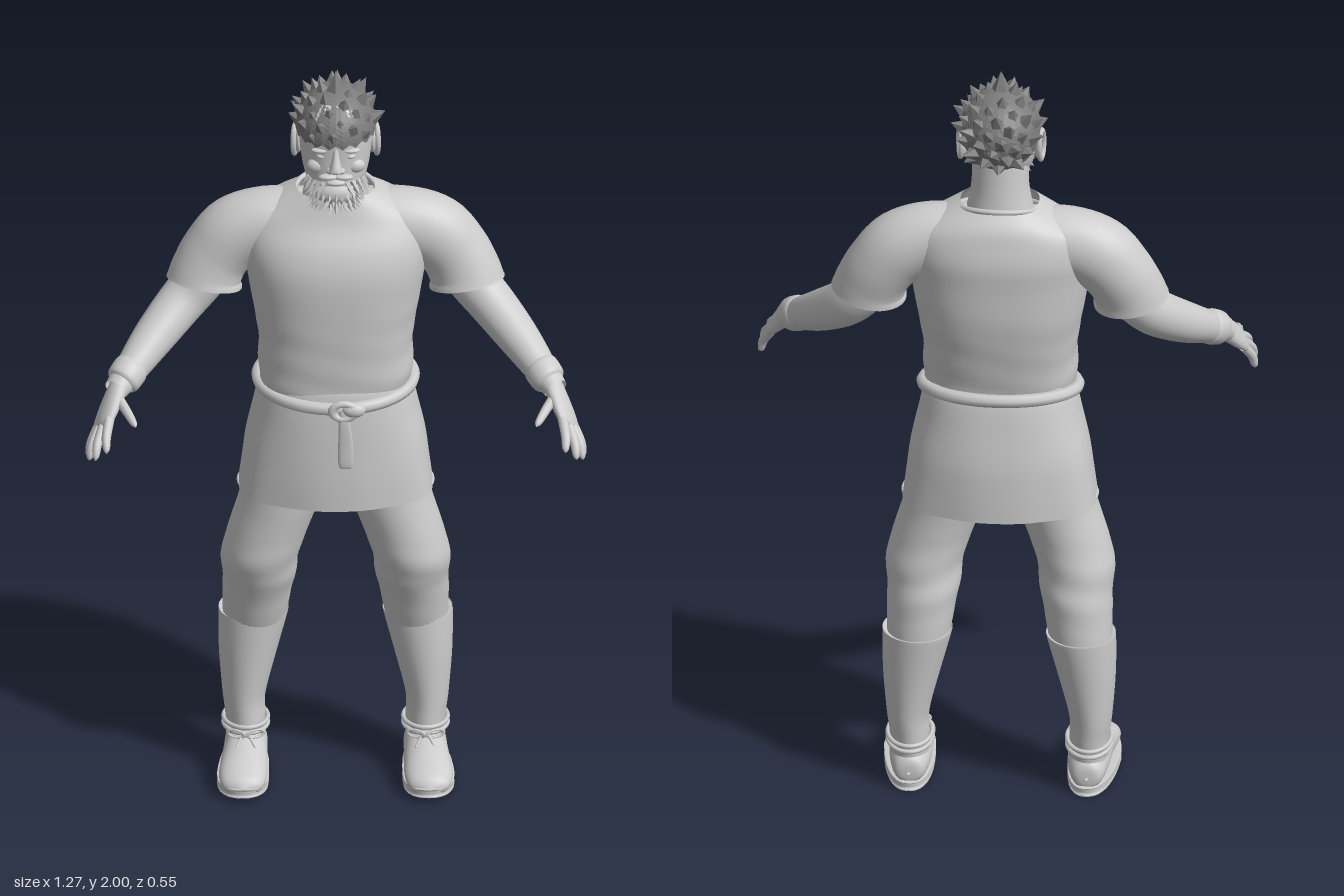
import * as THREE from 'three';
import { mergeGeometries } from 'three/addons/utils/BufferGeometryUtils.js';

const V = (x, y, z) => new THREE.Vector3(x, y, z);
const UP = V(0, 1, 0);

// Smooth surface through cross-sections [x, y, z, a, b].
// fixed: one direction for all sections; ref: direction of the b radius.
function loft(sections, { seg = 32, steps = 5, ref = V(0, 0, 1), fixed = null, pow = 2, ripple = null } = {}) {
  const n = sections.length, rows = [];
  const at = (i) => sections[Math.min(n - 1, Math.max(0, i))];
  for (let i = 0; i < n - 1; i++) {
    for (let s = 0; s < steps + (i === n - 2 ? 1 : 0); s++) {
      const t = s / steps;
      rows.push(at(i).map((p1, k) => {
        const p0 = at(i - 1)[k], p2 = at(i + 1)[k], p3 = at(i + 2)[k];
        return p1 + 0.5 * t * (p2 - p0 + t * (2 * p0 - 5 * p1 + 4 * p2 - p3 + t * (3 * (p1 - p2) + p3 - p0)));
      }));
    }
  }
  const pos = [], idx = [], c = (r) => V(r[0], r[1], r[2]);
  const bend = (v) => Math.sign(v) * Math.pow(Math.abs(v), 2 / pow);
  rows.forEach((r, i) => {
    const next = rows[Math.min(i + 1, rows.length - 1)], prev = rows[Math.max(i - 1, 0)];
    const T = fixed ? fixed.clone() : c(next).sub(c(prev)).normalize();
    const A = T.clone().cross(ref).normalize(), B = A.clone().cross(T).normalize();
    for (let j = 0; j < seg; j++) {
      const t = j / seg * Math.PI * 2, k = 1 + (ripple ? ripple(t, r[1]) : 0);
      const p = c(r).addScaledVector(A, bend(Math.sin(t)) * r[3] * k).addScaledVector(B, bend(Math.cos(t)) * r[4] * k);
      pos.push(p.x, p.y, p.z);
      if (i) {
        const a = (i - 1) * seg + j, b = (i - 1) * seg + (j + 1) % seg;
        idx.push(a, b, b + seg, a, b + seg, a + seg);
      }
    }
  });
  const g = new THREE.BufferGeometry();
  g.setAttribute('position', new THREE.Float32BufferAttribute(pos, 3));
  g.setIndex(idx);
  g.computeVertexNormals();
  return g;
}
const column = (s, o = {}) => loft(s, { fixed: UP, ...o });

// Closed elliptical cord; tilt lifts the back and lowers the front
function ring(x, y, z, rx, rz, r, tilt = 0) {
  const pts = [];
  for (let i = 0; i < 24; i++) {
    const t = i / 24 * Math.PI * 2;
    pts.push(V(x + rx * Math.sin(t), y - tilt * Math.cos(t), z + rz * Math.cos(t)));
  }
  return new THREE.TubeGeometry(new THREE.CatmullRomCurve3(pts, true), 64, r, 8, true);
}

function ball(x, y, z, rx, ry, rz) {
  return new THREE.SphereGeometry(1, 20, 14).scale(rx, ry, rz).translate(x, y, z);
}

function spike(p, dir, r, h, sides = 4) {
  const q = new THREE.Quaternion().setFromUnitVectors(UP, dir.clone().normalize());
  return new THREE.ConeGeometry(r, h, sides).translate(0, h / 2, 0).applyQuaternion(q).translate(p.x, p.y, p.z);
}

function flat(g) {
  const f = g.index ? g.toNonIndexed() : g;
  f.computeVertexNormals();
  return f;
}

function mirrored(g) {
  const m = g.clone().scale(-1, 1, 1), ix = m.index.array;
  for (let i = 0; i < ix.length; i += 3) [ix[i], ix[i + 1]] = [ix[i + 1], ix[i]];
  const nm = m.attributes.normal;
  for (let i = 0; i < nm.count; i++) {
    const o = g.attributes.normal;
    nm.setXYZ(i, -o.getX(i), o.getY(i), o.getZ(i));
  }
  return m;
}

export function createModel() {
  const root = new THREE.Group();
  root.name = 'standingMan';
  const light = new THREE.MeshStandardMaterial({ color: 0xcccccc, side: THREE.DoubleSide });
  light.name = 'lightGrey';
  const dark = new THREE.MeshStandardMaterial({ color: 0x7c7c7c, side: THREE.DoubleSide });
  dark.name = 'darkGrey';
  const add = (name, g, mat = light) => {
    const m = new THREE.Mesh(g, mat);
    m.name = name;
    root.add(m);
  };
  const both = (name, g) => {
    add('left' + name, g);
    add('right' + name, mirrored(g));
  };

  // Tunic, with soft folds near the waist
  add('tunicBody', column([
    [0, 1.10, -0.085, 0.185, 0.125], [0, 1.15, -0.085, 0.195, 0.128], [0, 1.25, -0.092, 0.196, 0.138],
    [0, 1.35, -0.098, 0.212, 0.147], [0, 1.45, -0.1, 0.228, 0.147], [0, 1.52, -0.11, 0.235, 0.138],
    [0, 1.58, -0.12, 0.22, 0.115], [0, 1.62, -0.12, 0.165, 0.1], [0, 1.655, -0.11, 0.1, 0.08],
  ], { seg: 48, pow: 2.3, ripple: (t, y) => 0.012 * Math.sin(y * 70 + 2 * Math.sin(2 * t)) * Math.max(0, (1.4 - y) / 0.3) }));
  add('collar', ring(0, 1.635, -0.11, 0.105, 0.086, 0.007, 0.025));
  add('tunicSkirt', column([
    [0, 0.81, -0.107, 0.25, 0.168], [0, 0.88, -0.106, 0.24, 0.167], [0, 0.96, -0.105, 0.228, 0.163],
    [0, 1.05, -0.1, 0.207, 0.153], [0, 1.12, -0.097, 0.192, 0.142], [0, 1.15, -0.095, 0.18, 0.13],
  ], { seg: 64, pow: 2.35, ripple: (t, y) => 0.02 * Math.cos(6 * t) * Math.max(0, (1.05 - y) / 0.24) }));
  add('skirtHem', ring(0, 0.815, -0.107, 0.248, 0.166, 0.005).scale(0.99, 1, 0.99));
  both('Sleeve', loft([
    [0.06, 1.55, -0.12, 0.085, 0.085], [0.17, 1.545, -0.12, 0.092, 0.085], [0.25, 1.515, -0.122, 0.095, 0.087],
    [0.3, 1.46, -0.12, 0.09, 0.085], [0.325, 1.41, -0.112, 0.091, 0.084], [0.332, 1.38, -0.107, 0.097, 0.087],
  ]));

  // Belt, knot and hanging end
  add('belt', ring(0, 1.12, -0.094, 0.196, 0.146, 0.017, 0.022));
  add('beltLoop', new THREE.TorusGeometry(0.024, 0.01, 8, 20).scale(1.2, 0.9, 1).translate(0.02, 1.098, 0.066));
  add('beltKnot', ball(0.045, 1.1, 0.062, 0.03, 0.02, 0.018));
  add('beltEnd', column([
    [0.025, 0.935, 0.066, 0.003, 0.003], [0.025, 0.945, 0.067, 0.018, 0.008], [0.025, 1, 0.067, 0.019, 0.008],
    [0.022, 1.06, 0.066, 0.015, 0.009], [0.02, 1.1, 0.062, 0.012, 0.009],
  ], { seg: 16, pow: 3 }));

  // Trousers and tall boots
  both('TrouserLeg', column([
    [0.207, 0.39, -0.137, 0.077, 0.08], [0.202, 0.46, -0.125, 0.084, 0.09], [0.195, 0.53, -0.112, 0.09, 0.099],
    [0.193, 0.58, -0.098, 0.096, 0.106], [0.187, 0.64, -0.088, 0.099, 0.108], [0.162, 0.72, -0.085, 0.102, 0.106],
    [0.135, 0.81, -0.085, 0.104, 0.108], [0.112, 0.95, -0.09, 0.105, 0.11],
  ], { ripple: (t, y) => 0.02 * Math.sin(y * 62 + Math.sin(t) * 1.5) * Math.max(0, 1 - Math.abs(y - 0.58) / 0.16) }));
  both('BootShaft', column([
    [0.226, 0.08, -0.122, 0.05, 0.072], [0.228, 0.14, -0.126, 0.051, 0.074], [0.231, 0.2, -0.13, 0.055, 0.077],
    [0.221, 0.32, -0.134, 0.074, 0.085], [0.208, 0.425, -0.138, 0.088, 0.091], [0.208, 0.432, -0.138, 0.086, 0.089],
    [0.208, 0.43, -0.138, 0.076, 0.079],
  ]));
  both('Shoe', loft([
    [0.225, 0.045, -0.204, 0.004, 0.004], [0.225, 0.05, -0.195, 0.036, 0.036], [0.225, 0.06, -0.14, 0.052, 0.052],
    [0.228, 0.062, -0.06, 0.056, 0.054], [0.232, 0.054, 0, 0.06, 0.045], [0.235, 0.044, 0.05, 0.06, 0.035],
    [0.236, 0.036, 0.09, 0.046, 0.024], [0.236, 0.032, 0.108, 0.004, 0.004],
  ], { fixed: V(0, 0, 1), ref: UP }));
  // Sole narrows at the heel and curls up at the toe
  const sole = column([
    [0.232, 0, -0.049, 0.002, 0.005], [0.232, 0, -0.049, 0.062, 0.154], [0.232, 0.004, -0.049, 0.065, 0.157],
    [0.232, 0.02, -0.049, 0.065, 0.158], [0.232, 0.024, -0.049, 0.062, 0.155], [0.232, 0.024, -0.049, 0.002, 0.005],
  ], { steps: 3, pow: 2.4 });
  const sp = sole.attributes.position;
  for (let i = 0; i < sp.count; i++) {
    const z = sp.getZ(i), heel = THREE.MathUtils.clamp((z + 0.2) / 0.2, 0, 1);
    sp.setX(i, 0.225 + 0.01 * heel + (sp.getX(i) - 0.232) * (0.84 + 0.16 * heel));
    sp.setY(i, sp.getY(i) + Math.max(0, z - 0.03) * 0.2);
  }
  sole.computeVertexNormals();
  both('Sole', sole);
  [0.112, 0.128].forEach((y, i) => both('AnkleLace' + (i + 1), ring(0.227, y, -0.124, 0.056, 0.078, 0.006, -0.006)));
  [-1, 1].forEach((s, i) => {
    both('LaceBow' + (i + 1), new THREE.TorusGeometry(0.015, 0.004, 6, 14).scale(1.5, 0.7, 1).rotateY(s * 0.4)
      .translate(0.227 + s * 0.025, 0.122, -0.036));
    both('LaceEnd' + (i + 1), new THREE.CapsuleGeometry(0.004, 0.035, 4, 8).rotateX(-0.7).rotateZ(s * 0.6)
      .translate(0.227 + s * 0.016, 0.108, -0.022));
  });

  // Arms, wristbands and hands
  both('Arm', loft([
    [0.3, 1.44, -0.115, 0.062, 0.062], [0.345, 1.38, -0.11, 0.062, 0.062], [0.392, 1.33, -0.088, 0.06, 0.06],
    [0.46, 1.268, -0.018, 0.053, 0.053], [0.52, 1.214, 0.06, 0.041, 0.041], [0.555, 1.185, 0.108, 0.03, 0.034],
  ]));
  both('Wristband', loft([
    [0.512, 1.222, 0.05, 0.041, 0.041], [0.52, 1.215, 0.06, 0.046, 0.046], [0.537, 1.2, 0.084, 0.044, 0.044],
    [0.543, 1.195, 0.092, 0.035, 0.036],
  ], { seg: 24 }));
  const across = V(-0.4, 0.45, 0.8);
  both('Palm', loft([
    [0.545, 1.192, 0.095, 0.026, 0.03], [0.562, 1.168, 0.125, 0.022, 0.038], [0.58, 1.138, 0.16, 0.019, 0.043],
    [0.592, 1.118, 0.182, 0.013, 0.038], [0.594, 1.115, 0.186, 0.003, 0.01],
  ], { seg: 20, ref: across }));
  const fingers = {
    Thumb: [[0.55, 1.175, 0.135], [0.527, 1.16, 0.185], [0.506, 1.143, 0.23]],
    IndexFinger: [[0.572, 1.145, 0.19], [0.58, 1.118, 0.235], [0.58, 1.088, 0.268]],
    MiddleFinger: [[0.584, 1.13, 0.18], [0.602, 1.096, 0.228], [0.608, 1.062, 0.257]],
    RingFinger: [[0.594, 1.118, 0.17], [0.615, 1.082, 0.204], [0.624, 1.045, 0.225]],
    LittleFinger: [[0.599, 1.108, 0.155], [0.618, 1.072, 0.176], [0.627, 1.035, 0.185]],
  };
  for (const [name, [a, b, tip]] of Object.entries(fingers)) {
    const near = tip.map((v, k) => v + (b[k] - v) * 0.25);
    both(name, loft([[...a, 0.013, 0.013], [...b, 0.012, 0.012], [...near, 0.009, 0.009], [...tip, 0.002, 0.002]],
      { seg: 10, steps: 4, ref: across.clone().cross(V(0.4, -0.7, 0.5)) }));
  }

  // Head and neck
  add('neck', column([
    [0, 1.57, -0.11, 0.1, 0.08], [0, 1.64, -0.105, 0.083, 0.072], [0, 1.7, -0.1, 0.073, 0.068], [0, 1.78, -0.09, 0.072, 0.07],
  ]));
  add('head', column([
    [0, 1.662, -0.005, 0.01, 0.01], [0, 1.67, -0.01, 0.038, 0.04], [0, 1.705, -0.03, 0.066, 0.066],
    [0, 1.75, -0.055, 0.083, 0.092], [0, 1.8, -0.068, 0.091, 0.104], [0, 1.85, -0.075, 0.093, 0.11],
    [0, 1.9, -0.08, 0.082, 0.1], [0, 1.935, -0.08, 0.045, 0.06], [0, 1.942, -0.08, 0.004, 0.004],
  ], { pow: 2.2 }));
  add('nose', column([
    [0, 1.766, 0.035, 0.008, 0.008], [0, 1.773, 0.042, 0.02, 0.018], [0, 1.785, 0.042, 0.015, 0.018],
    [0, 1.81, 0.036, 0.009, 0.011], [0, 1.832, 0.03, 0.007, 0.008],
  ], { seg: 14 }));
  both('Brow', ball(0.036, 1.824, 0.022, 0.026, 0.007, 0.014));
  both('Eye', ball(0.036, 1.807, 0.02, 0.014, 0.008, 0.013));
  both('Cheek', ball(0.048, 1.775, 0.012, 0.026, 0.02, 0.018));
  both('Nostril', ball(0.015, 1.773, 0.04, 0.009, 0.008, 0.01));
  add('lips', ball(0, 1.74, 0.042, 0.024, 0.008, 0.011));
  both('Ear', ball(0.094, 1.8, -0.085, 0.011, 0.038, 0.024).rotateZ(-0.0));
  both('EarRim', new THREE.TorusGeometry(0.03, 0.007, 8, 20).scale(0.75, 1.3, 1).rotateY(Math.PI / 2 + 0.2).translate(0.103, 1.8, -0.085));

  // Beard and moustache tufts
  add('beard', ball(0, 1.702, -0.002, 0.066, 0.04, 0.05));
  both('Moustache', ball(0.02, 1.756, 0.04, 0.024, 0.008, 0.012).rotateZ(0));
  const tufts = [];
  for (let row = 0; row < 5; row++) {
    for (let i = -6; i <= 6; i++) {
      const t = (i + (row % 2) * 0.5) * 0.22, y = 1.672 + row * 0.017, k = 0.72 + 0.08 * Math.min(row, 3);
      const p = V(Math.sin(t) * 0.072 * k, y, -0.01 + Math.cos(t) * 0.056 * k);
      if (row > 2 && Math.abs(t) < 0.35) continue;
      tufts.push(spike(p, V(Math.sin(t) * 0.7, -0.75, Math.cos(t) * 0.6), 0.009, 0.026));
    }
  }
  add('beardTufts', flat(mergeGeometries(tufts)));

  // Hair cap with a jagged edge, lower at the nape, and spikes all over
  const C = V(0, 1.845, -0.083), R = V(0.102, 0.105, 0.124);
  const edge = (a) => 1.62 + 0.85 * THREE.MathUtils.smoothstep(-Math.cos(a), 0.15, 0.7);
  const onHair = (a, th) => V(Math.sin(a) * Math.sin(th), Math.cos(th), Math.cos(a) * Math.sin(th)).multiply(R).add(C);
  const cap = new THREE.SphereGeometry(1, 36, 14, 0, Math.PI * 2, 0, Math.PI / 2);
  const cp = cap.attributes.position;
  for (let i = 0; i < cp.count; i++) {
    const u = i % 37, a = u / 36 * Math.PI * 2, v = Math.floor(i / 37) / 14;
    const p = onHair(a, v * (edge(a) + (u % 2 ? 0.09 : -0.03)));
    cp.setXYZ(i, p.x, p.y, p.z);
  }
  // angle grows from front to the left, so faces are turned outward
  const ci = cap.index.array;
  const probe = [0, 1, 2].map((k) => V().fromBufferAttribute(cp, ci[300 + k]));
  const out = probe[1].clone().sub(probe[0]).cross(probe[2].clone().sub(probe[0])).dot(probe[0].clone().sub(C));
  if (out < 0) for (let i = 0; i < ci.length; i += 3) [ci[i], ci[i + 1]] = [ci[i + 1], ci[i]];
  add('hair', flat(cap), dark);
  const spikes = [spike(V(0, 1.935, -0.072), V(0, 1, 0), 0.03, 0.065, 5)];
  for (let i = 2; i < 80; i++) {
    const th = Math.acos(1 - 2 * (i + 0.5) / 90), a = (i * 2.39996) % (Math.PI * 2);
    if (th > edge(a) - 0.12) continue;
    const p = onHair(a, th), dir = p.clone().sub(C).divide(R).divide(R).normalize();
    const front = Math.max(0, Math.cos(a)) * Math.sin(th);
    dir.y += 0.35;
    spikes.push(spike(p.addScaledVector(dir, -0.012), dir, 0.024, 0.042 - 0.016 * front + 0.006 * (i % 3 - 1), 5));
  }
  add('hairSpikes', flat(mergeGeometries(spikes)), dark);
  return root;
}
